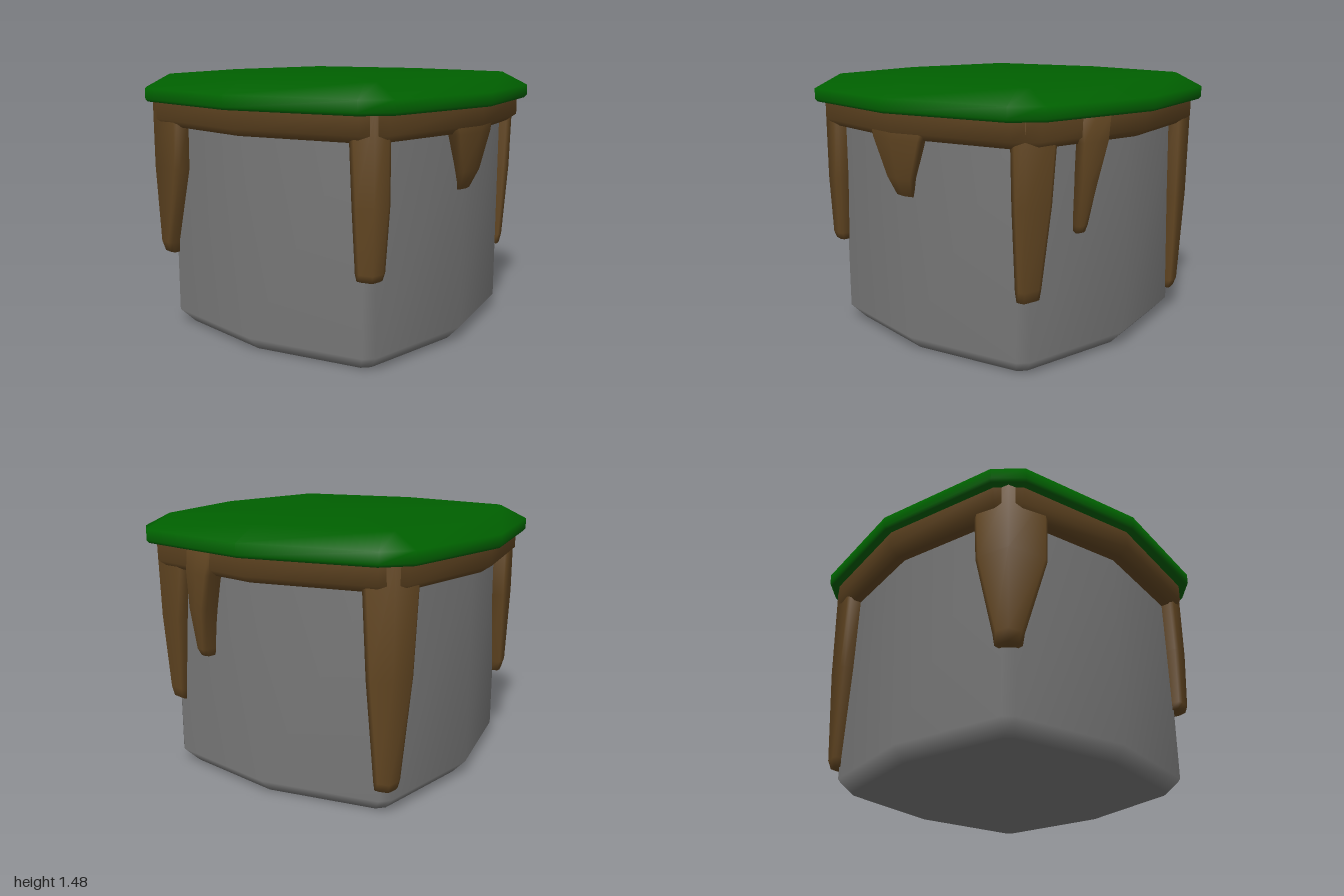
import * as THREE from 'three';

const stone = new THREE.MeshStandardMaterial({ color: 0x7a7a7a });
const soil = new THREE.MeshStandardMaterial({ color: 0x624622 });
const grass = new THREE.MeshStandardMaterial({ color: 0x006000 });

// Closed solid through rings of [x, y, z] points, bottom to top, counterclockwise from above
function loft(rings) {
  const n = rings[0].length, pos = rings.flat(2), index = [];
  for (let i = 0; i < rings.length - 1; i++) {
    for (let j = 0; j < n; j++) {
      const a = i * n + j, b = i * n + (j + 1) % n;
      index.push(a, b, b + n, a, b + n, a + n);
    }
  }
  // End caps fan out from the middle of the first and last ring
  [0, rings.length - 1].forEach((r) => {
    const centre = pos.length / 3;
    for (let k = 0; k < 3; k++) pos.push(rings[r].reduce((sum, p) => sum + p[k], 0) / n);
    for (let j = 0; j < n; j++) {
      const a = r * n + j, b = r * n + (j + 1) % n;
      index.push(centre, ...(r === 0 ? [b, a] : [a, b]));
    }
  });
  const geometry = new THREE.BufferGeometry();
  geometry.setAttribute('position', new THREE.Float32BufferAttribute(pos, 3));
  geometry.setIndex(index);
  // Smooth, area-weighted normals: large faces stay flat, bevels look rounded
  geometry.computeVertexNormals();
  return geometry;
}

// Bulging square: mid is the reach of each side, (long, short) its bevelled corners
function bulgedSquare(y, mid, long, short) {
  const ring = [];
  for (let q = 0; q < 4; q++) {
    const c = Math.round(Math.cos(q * Math.PI / 2)), s = Math.round(Math.sin(q * Math.PI / 2));
    for (const [x, z] of [[0, mid], [short, long], [long, short]]) {
      ring.push([x * c + z * s, y, z * c - x * s]);
    }
  }
  return ring;
}

// Point at an angle (degrees, from front towards +x), a given distance off the stone's side
function sidePoint(y, degrees, offset) {
  const fold = ((degrees % 90) + 90) % 90;
  const a = THREE.MathUtils.degToRad(Math.min(fold, 90 - fold));
  const r = 0.84 / (Math.cos(a) + 0.2 * Math.sin(a)) + offset;
  const t = THREE.MathUtils.degToRad(degrees);
  return [r * Math.sin(t), y, r * Math.cos(t)];
}

// Drip hugging the stone; each row is [y, startAngle, endAngle, thickness]
function dripGeometry(rows) {
  return loft(rows.map(([y, from, to, thickness]) => {
    const corner = Math.floor(from / 90) * 90 + 45;
    const middle = corner > from && corner < to ? corner : (from + to) / 2;
    const squeeze = Math.min(3, (to - from) * 0.3);
    const outer = [
      sidePoint(y, from, thickness * 0.8),
      sidePoint(y, from + 1, thickness),
      sidePoint(y, middle, thickness),
      sidePoint(y, to - 1, thickness),
      sidePoint(y, to, thickness * 0.8),
    ];
    // The back runs narrower, just inside the stone
    const inner = [to - squeeze, middle, from + squeeze].map((angle) => sidePoint(y, angle, -0.03));
    return [...outer, ...inner];
  }));
}

export function createModel() {
  const model = new THREE.Group();
  const add = (name, geometry, material) => {
    const mesh = new THREE.Mesh(geometry, material);
    mesh.name = name;
    model.add(mesh);
  };

  // Stone block with a bevelled foot
  add('stoneBlock', loft([
    bulgedSquare(0, 0.76, 0.65, 0.61),
    bulgedSquare(0.08, 0.835, 0.715, 0.665),
    bulgedSquare(1.28, 0.835, 0.715, 0.665),
    bulgedSquare(1.3, 0.835, 0.715, 0.665),
  ]), stone);

  // Soil band under the grass
  add('soilBand', loft([
    bulgedSquare(1.19, 0.88, 0.76, 0.67),
    bulgedSquare(1.23, 0.94, 0.81, 0.7),
    bulgedSquare(1.34, 0.94, 0.81, 0.7),
    bulgedSquare(1.35, 0.94, 0.81, 0.7),
  ]), soil);

  // Grass cap with sloping rim
  add('grassCap', loft([
    bulgedSquare(1.33, 0.98, 0.85, 0.72),
    bulgedSquare(1.345, 0.992, 0.86, 0.73),
    bulgedSquare(1.405, 0.992, 0.86, 0.73),
    bulgedSquare(1.48, 0.84, 0.72, 0.68),
  ]), grass);

  // Soil drips, each from its tip up to the grass
  const drips = {
    frontDrip: [[0.88, -4.8, 4.2, 0.015], [0.98, -7, 6.5, 0.06], [1.19, -12, 11.5, 0.095], [1.34, -15, 14.5, 0.095]],
    frontLeftCornerDrip: [[0.41, 43, 50, 0.025], [0.47, 42.5, 50.5, 0.04], [0.9, 41.5, 53.5, 0.07], [1.34, 41, 55.5, 0.08]],
    leftSideDrip: [[0.73, 62.8, 66.8, 0.06], [0.77, 62.5, 67.2, 0.08], [1.0, 62, 70, 0.11], [1.2, 62, 73.5, 0.12], [1.34, 62, 75, 0.11]],
    backLeftCornerDrip: [[0.15, 131.5, 138.8, 0.04], [0.2, 131, 139.3, 0.06], [0.75, 128.5, 143, 0.09], [1.34, 127, 145, 0.1]],
    backRightCornerDrip: [[0.44, 221, 229, 0.06], [0.5, 220.5, 229.5, 0.08], [0.95, 215, 237, 0.1], [1.34, 214, 237.5, 0.1]],
    frontRightCornerDrip: [[0.5, 311, 318.5, 0.06], [0.54, 310.5, 319.2, 0.075], [0.88, 309.5, 320.5, 0.09], [1.34, 308.5, 320.5, 0.09]],
  };
  for (const [name, rows] of Object.entries(drips)) add(name, dripGeometry(rows), soil);

  return model;
}
